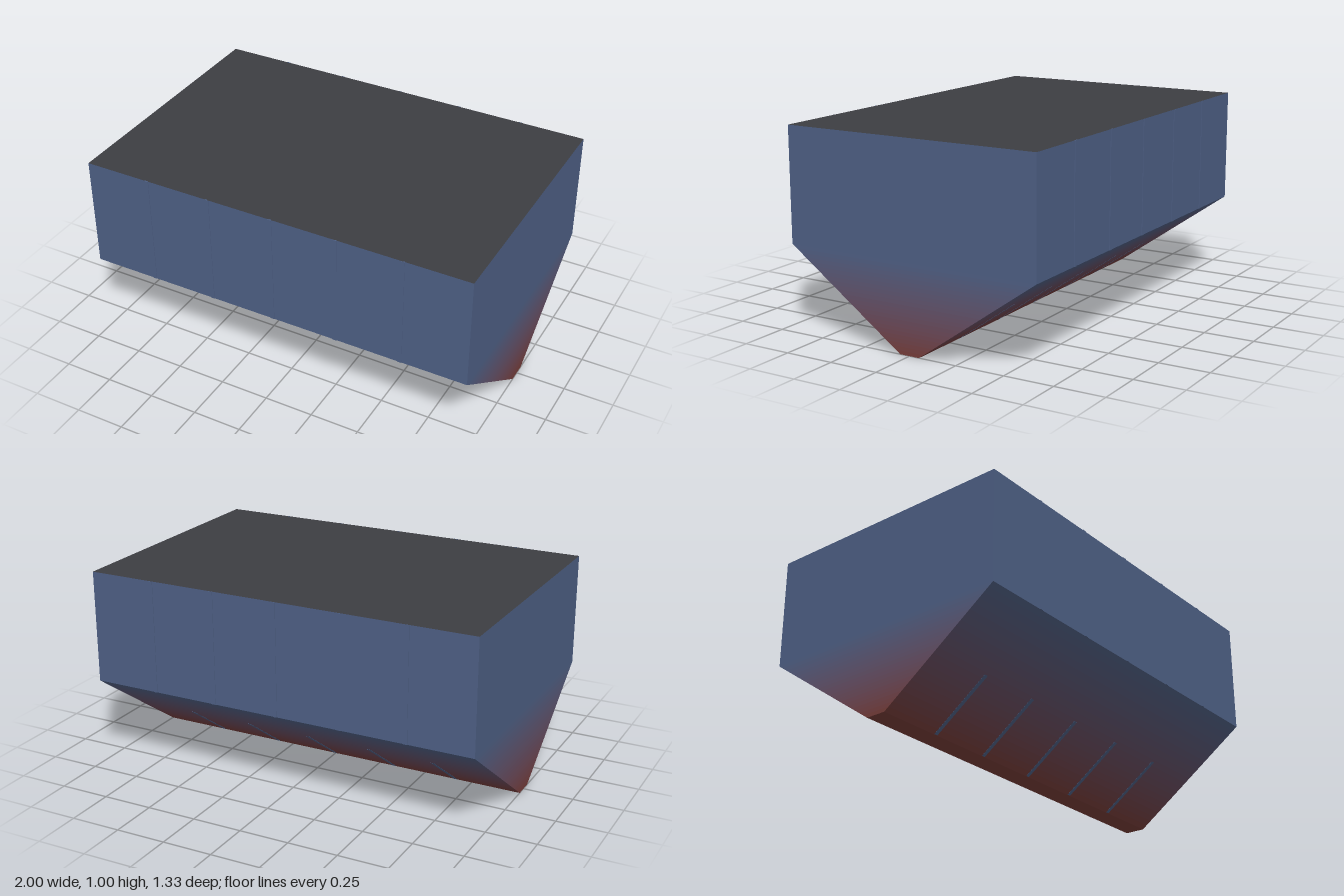
import * as THREE from 'three';

const HALF_X = 1, HALF_Z = 0.664, KEEL_Z = 0.052, SHOULDER = 0.435, TOP = 1;
const BLUE = new THREE.Color(0x4e6085), RED = new THREE.Color(0x763c37), DARK = new THREE.Color(0x3c3d42);

function addMesh(parent, name, geometry, color) {
  const mesh = new THREE.Mesh(geometry, new THREE.MeshStandardMaterial({ color }));
  mesh.name = name;
  parent.add(mesh);
  return mesh;
}

// Four walls joining a rectangle at y0 to one at y1
function wallBand(y0, z0, y1, z1) {
  const corners = [[1, 1], [1, -1], [-1, -1], [-1, 1]];
  const positions = [];
  for (let i = 0; i < 4; i++) {
    const [ax, az] = corners[i], [bx, bz] = corners[(i + 1) % 4];
    const a = [ax * HALF_X, y0, az * z0], b = [bx * HALF_X, y0, bz * z0];
    const c = [bx * HALF_X, y1, bz * z1], d = [ax * HALF_X, y1, az * z1];
    positions.push(...a, ...b, ...c, ...a, ...c, ...d);
  }
  const geometry = new THREE.BufferGeometry();
  geometry.setAttribute('position', new THREE.Float32BufferAttribute(positions, 3));
  geometry.computeVertexNormals();
  return geometry;
}

export function createModel() {
  const model = new THREE.Group();
  model.name = 'hopper';

  // Straight upper walls
  addMesh(model, 'upperWalls', wallBand(SHOULDER, HALF_Z, TOP, HALF_Z), BLUE);

  // Tapering trough, shaded from red at the keel to blue at the shoulder
  const trough = new THREE.Group();
  trough.name = 'trough';
  model.add(trough);
  const bands = 24;
  const widthAt = (t) => THREE.MathUtils.lerp(KEEL_Z, HALF_Z, t);
  for (let i = 0; i < bands; i++) {
    const t0 = i / bands, t1 = (i + 1) / bands;
    const color = RED.clone().lerp(BLUE, (t0 + t1) / 2);
    addMesh(trough, 'troughBand', wallBand(t0 * SHOULDER, widthAt(t0), t1 * SHOULDER, widthAt(t1)), color);
  }

  // Flat top cover and narrow bottom strip
  const cover = addMesh(model, 'topCover', new THREE.PlaneGeometry(2 * HALF_X, 2 * HALF_Z), DARK);
  cover.rotation.x = -Math.PI / 2;
  cover.position.y = TOP;
  const keel = addMesh(model, 'bottomStrip', new THREE.PlaneGeometry(2 * HALF_X, 2 * KEEL_Z), RED);
  keel.rotation.x = Math.PI / 2;

  // Thin ribs on the walls and the lower slopes, front and back
  const slope = Math.atan2(HALF_Z - KEEL_Z, SHOULDER);
  const ribTop = 0.21, ribLength = ribTop / Math.cos(slope);
  const wallRib = new THREE.BoxGeometry(0.02, TOP - SHOULDER, 0.006);
  const slopeRib = new THREE.BoxGeometry(0.02, ribLength, 0.008);
  for (const side of [1, -1]) {
    for (let i = -2; i <= 2; i++) {
      const x = i / 3;
      addMesh(model, 'wallRib', wallRib, BLUE).position.set(x, (TOP + SHOULDER) / 2, side * HALF_Z);
      const rib = addMesh(model, 'slopeRib', slopeRib, BLUE);
      rib.position.set(x, ribTop / 2 + 0.004, side * widthAt(ribTop / 2 / SHOULDER));
      rib.rotation.x = side * slope;
    }
  }
  return model;
}
